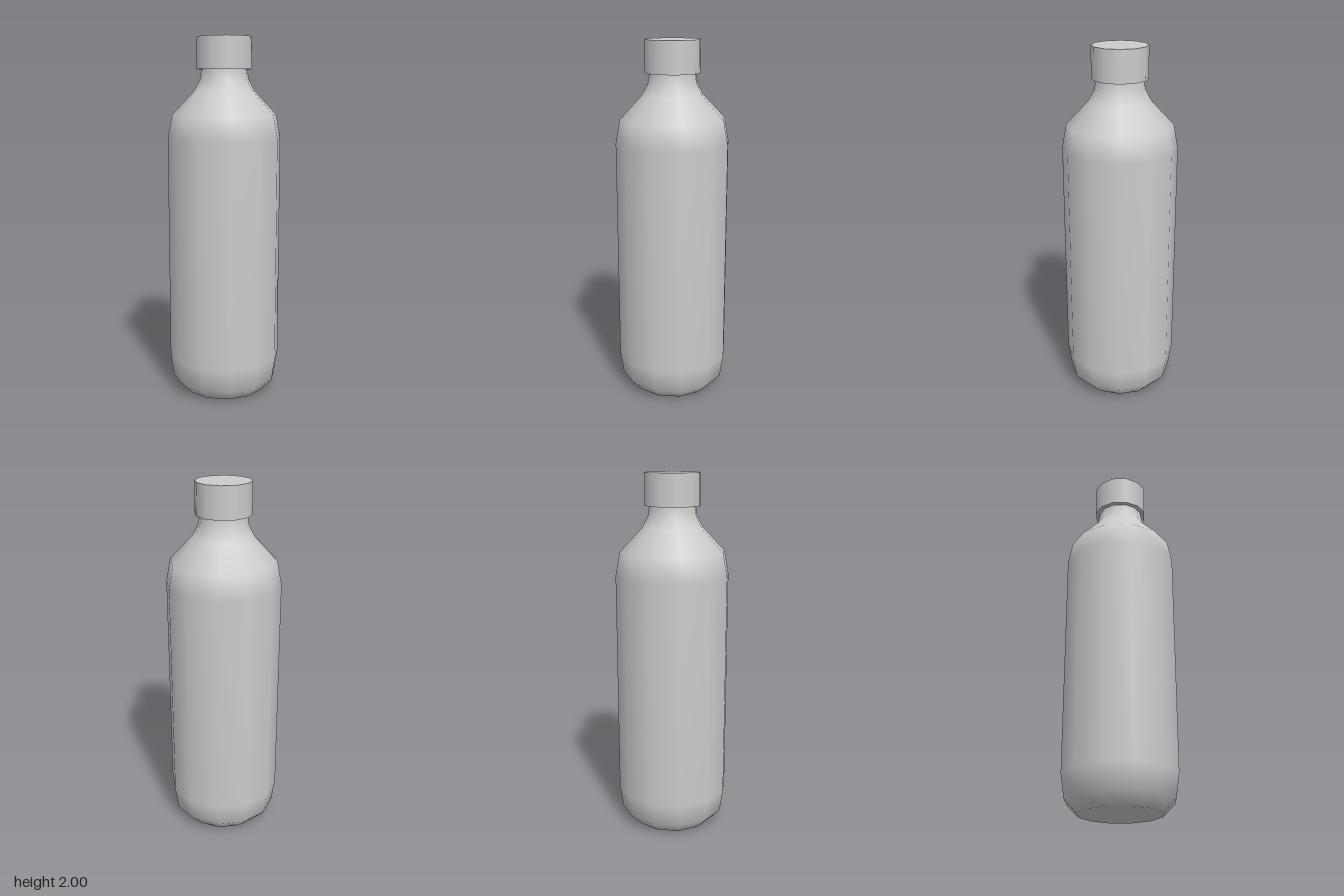
import * as THREE from 'three';

const SIDES = 12;

export function createModel() {
  const group = new THREE.Group();
  group.name = 'bottle';
  const material = new THREE.MeshStandardMaterial({ color: 0xcccccc });

  // Body: one smooth turned profile from base centre to neck, [radius, height]
  const profile = [
    [0, 0], [0.228, 0], [0.296, 0.07], [0.315, 0.2], [0.315, 1.45],
    [0.29, 1.58], [0.167, 1.71], [0.136, 1.77], [0.126, 1.83], [0.126, 1.9],
  ].map(([r, y]) => new THREE.Vector2(r, y));
  const body = new THREE.Mesh(new THREE.LatheGeometry(profile, SIDES), material);
  body.name = 'body';

  // Cap: wider than the neck, with crisp rims
  const capBottom = 1.825, capHeight = 2 - capBottom;
  const cap = new THREE.Mesh(
    new THREE.CylinderGeometry(0.152, 0.152, capHeight, SIDES), material);
  cap.name = 'cap';
  cap.position.y = capBottom + capHeight / 2;

  group.add(body, cap);
  return group;
}
